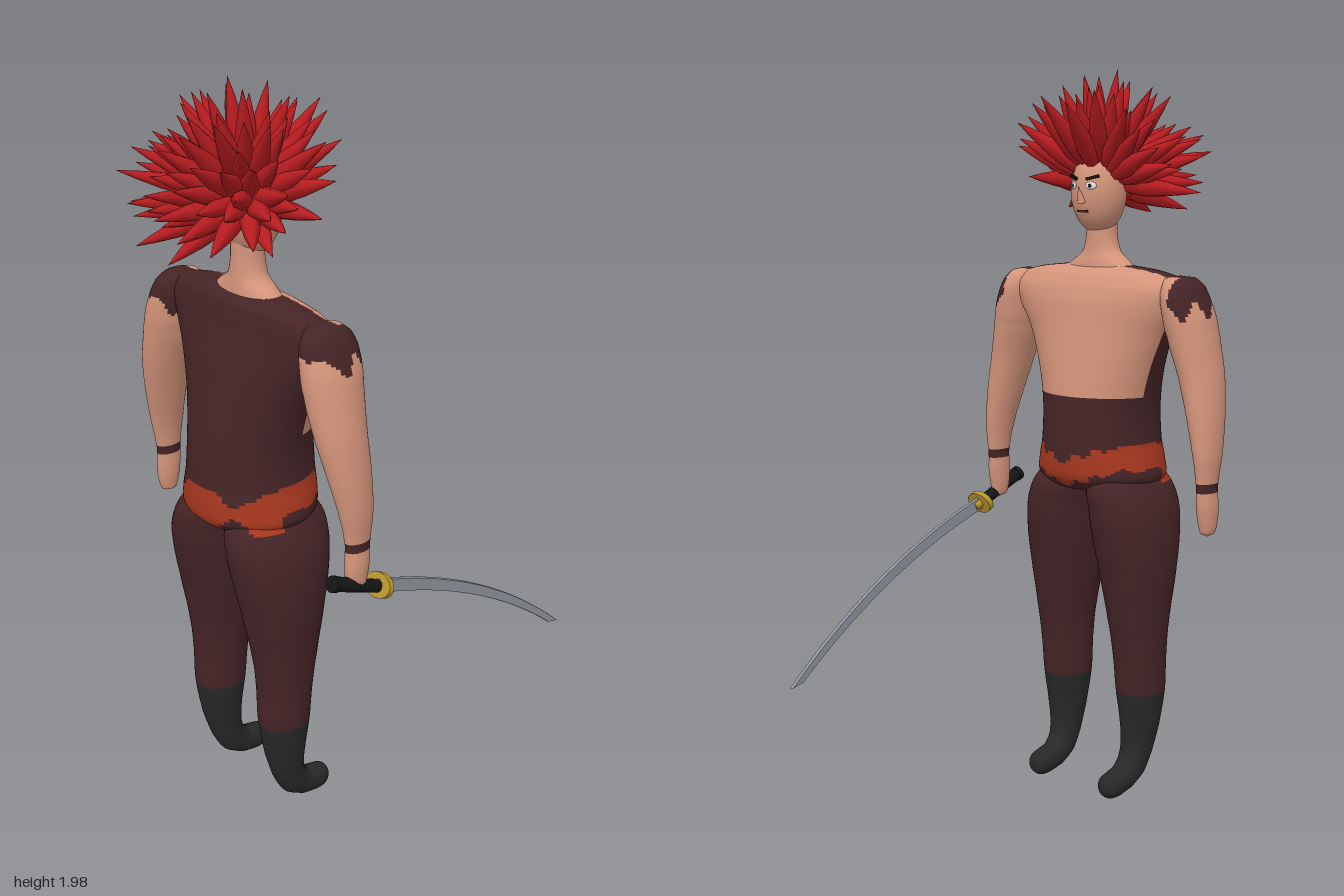
import * as THREE from 'three';

const mat = (name, color) => {
  const m = new THREE.MeshStandardMaterial({ color });
  m.name = name;
  return m;
};

// Catmull-Rom sampling of key rings [x, y, z, rx, rz, tilt]
function sampleRings(keys, sub) {
  const out = [];
  const at = (i) => keys[Math.max(0, Math.min(keys.length - 1, i))];
  for (let i = 0; i < keys.length - 1; i++) {
    for (let s = 0; s < sub; s++) {
      const t = s / sub;
      out.push([0, 1, 2, 3, 4, 5].map((k) => {
        const [a, b, c, d] = [-1, 0, 1, 2].map((o) => at(i + o)[k] || 0);
        if (k === 1) return b + (c - b) * t;
        return b + 0.5 * t * (c - a + t * (2 * a - 5 * b + 4 * c - d + t * (3 * (b - c) + d - a)));
      }));
    }
  }
  out.push(at(keys.length));
  return out;
}

// Smooth skin over stacked elliptical rings; pick(x, y, z) gives a material index per face
function loft(keys, mats, pick, seg = 48, sub = 7) {
  const rings = sampleRings(keys, sub);
  const pos = [];
  for (const [x, y, z, rx, rz, tilt = 0] of rings) {
    for (let j = 0; j < seg; j++) {
      const a = (j / seg) * Math.PI * 2;
      const v = Math.sin(a) * Math.max(rz, 0);
      pos.push(x + Math.cos(a) * Math.max(rx, 0), y - v * Math.sin(tilt), z + v * Math.cos(tilt));
    }
  }
  const lists = mats.map(() => []);
  for (let i = 0; i < rings.length - 1; i++) {
    for (let j = 0; j < seg; j++) {
      const k = (j + 1) % seg;
      const q = [i * seg + j, i * seg + k, (i + 1) * seg + j, (i + 1) * seg + k];
      const c = [0, 1, 2].map((n) => q.reduce((s, p) => s + pos[p * 3 + n], 0) / 4);
      lists[pick(...c)].push(q[0], q[1], q[2], q[1], q[3], q[2]);
    }
  }
  const g = new THREE.BufferGeometry();
  g.setAttribute('position', new THREE.Float32BufferAttribute(pos, 3));
  g.setIndex(lists.flat());
  let start = 0;
  lists.forEach((l, i) => { g.addGroup(start, l.length, i); start += l.length; });
  g.computeVertexNormals();
  return new THREE.Mesh(g, mats);
}

export function createModel() {
  const skin = mat('skin', 0xd4947a), cloth = mat('dark brown cloth', 0x452426);
  const sash = mat('orange sash', 0xa8371f), boot = mat('charcoal boots', 0x282828);
  const hairRed = mat('red hair', 0xb81c20), gold = mat('gold', 0xb8962e);
  const steel = mat('steel', 0x9295a0), black = mat('black', 0x151515), white = mat('eye white', 0xe8e8e8);

  const model = new THREE.Group();
  const body = new THREE.Group();
  body.name = 'body';
  body.position.x = -0.01;
  model.add(body);
  const add = (parent, name, mesh) => { mesh.name = name; parent.add(mesh); return mesh; };

  // Sash pinches beside the centre at the back and dips at the front
  const inSash = (x, y, z) => {
    const ax = Math.abs(x);
    if (z > 0.3) return Math.abs(y - 0.94) < 0.008 + Math.min(0.047, Math.abs(ax - 0.1) * 0.9);
    const dip = z < 0.2 ? 0.05 * Math.max(0, 1 - ax / 0.16) : 0;
    return Math.abs(y - 0.97 + dip + 0.006 * Math.sin(ax * 120)) < 0.034;
  };

  // Torso: clothed back, bare chest
  add(body, 'torso', loft([
    [0, 1.478, 0.25, 0, 0], [0, 1.476, 0.25, 0.1, 0.035], [0, 1.465, 0.25, 0.2, 0.06],
    [0, 1.45, 0.248, 0.265, 0.075], [0, 1.42, 0.243, 0.3, 0.088], [0, 1.38, 0.242, 0.285, 0.1],
    [0, 1.3, 0.248, 0.235, 0.118], [0, 1.2, 0.252, 0.192, 0.138], [0, 1.1, 0.256, 0.166, 0.155],
    [0, 1.0, 0.258, 0.164, 0.165], [0, 0.94, 0.26, 0.178, 0.168], [0, 0.9, 0.262, 0.182, 0.16],
    [0, 0.87, 0.262, 0.14, 0.12], [0, 0.86, 0.262, 0, 0],
  ], [cloth, skin, sash], (x, y, z) => {
    if (inSash(x, y, z)) return 2;
    return y > 1.135 && z < 0.225 && Math.abs(x) < 0.29 ? 1 : 0;
  }, 72));

  for (const s of [-1, 1]) {
    const side = s > 0 ? 'left' : 'right';
    const place = (keys) => keys.map(([x, ...r]) => [x * s, ...r]);

    // Arm with ragged sleeve end and wristband
    add(body, side + 'Arm', loft(place([
      [0.27, 1.457, 0.25, 0, 0], [0.272, 1.45, 0.25, 0.035, 0.045], [0.28, 1.43, 0.25, 0.047, 0.068],
      [0.287, 1.4, 0.25, 0.055, 0.08], [0.3, 1.35, 0.253, 0.062, 0.083], [0.312, 1.3, 0.256, 0.062, 0.08],
      [0.338, 1.2, 0.258, 0.055, 0.071], [0.36, 1.1, 0.25, 0.045, 0.061], [0.375, 1.0, 0.241, 0.033, 0.049],
      [0.378, 0.925, 0.238, 0.024, 0.038], [0.378, 0.9, 0.238, 0.023, 0.036], [0.379, 0.86, 0.24, 0.025, 0.036],
      [0.379, 0.82, 0.242, 0.023, 0.031], [0.379, 0.79, 0.242, 0.017, 0.022], [0.379, 0.78, 0.242, 0, 0],
    ]), [skin, cloth], (x, y, z) => {
      if (y > 0.9 && y < 0.925) return 1;
      const hem = 1.37 + 0.025 * Math.sin(z * 75 + Math.abs(x) * 30);
      return y > hem && (z > 0.225 || Math.abs(x) > 0.29) ? 1 : 0;
    }));

    // Leg, running on into the boot and forward-bent foot
    add(body, side + 'Leg', loft(place([
      [0.09, 0.94, 0.262, 0, 0], [0.09, 0.93, 0.262, 0.06, 0.1], [0.097, 0.88, 0.263, 0.092, 0.145],
      [0.112, 0.82, 0.265, 0.103, 0.15], [0.12, 0.75, 0.265, 0.106, 0.14], [0.127, 0.65, 0.265, 0.1, 0.118],
      [0.132, 0.5, 0.265, 0.081, 0.09], [0.134, 0.4, 0.269, 0.072, 0.077], [0.135, 0.3, 0.273, 0.066, 0.072],
      [0.135, 0.2, 0.271, 0.053, 0.058, 0.1], [0.133, 0.13, 0.26, 0.044, 0.047, 0.35],
      [0.131, 0.085, 0.24, 0.04, 0.043, 0.8], [0.13, 0.058, 0.205, 0.037, 0.038, 1.15],
      [0.13, 0.049, 0.165, 0.035, 0.037, 1.35], [0.13, 0.046, 0.138, 0.03, 0.033, 1.4],
      [0.13, 0.045, 0.122, 0.017, 0.018, 1.45], [0.13, 0.045, 0.118, 0, 0, 1.45],
    ]), [cloth, boot, sash], (x, y, z) => (y < 0.3 ? 1 : inSash(x, y, z) ? 2 : 0)));
  }

  // Neck
  add(body, 'neck', loft([
    [0, 1.62, 0.252, 0.04, 0.042], [0, 1.55, 0.252, 0.043, 0.043], [0, 1.51, 0.252, 0.058, 0.045],
    [0, 1.475, 0.25, 0.105, 0.05], [0, 1.46, 0.25, 0.13, 0.05],
  ], [skin], () => 0, 32));

  // Head and face, looking toward -z
  const head = new THREE.Group();
  head.name = 'head';
  head.position.set(0, 1.67, 0.238);
  body.add(head);
  const R = [0.076, 0.112, 0.074];
  const faceZ = (x, y) => -R[2] * Math.sqrt(1 - (x / R[0]) ** 2 - (y / R[1]) ** 2);
  add(head, 'skull', new THREE.Mesh(new THREE.SphereGeometry(1, 32, 24), skin)).scale.set(...R);
  const nose = add(head, 'nose', new THREE.Mesh(new THREE.ConeGeometry(0.013, 0.045, 12), skin));
  nose.position.set(0, -0.008, -0.077);
  nose.rotation.x = -0.35;
  for (const s of [-1, 1]) {
    const feature = (name, geo, m, x, y, lift, roll = 0) => {
      const f = add(head, name, new THREE.Mesh(geo, m));
      f.position.set(x * s, y, faceZ(x, y) - lift);
      f.rotation.set(0, s * -0.45, s * roll);
      return f;
    };
    feature('eye', new THREE.SphereGeometry(0.014, 16, 12), white, 0.03, 0.015, 0).scale.set(1.1, 0.7, 0.3);
    feature('pupil', new THREE.SphereGeometry(0.006, 12, 8), black, 0.029, 0.015, 0.003).scale.z = 0.4;
    feature('eyebrow', new THREE.BoxGeometry(0.036, 0.008, 0.009), black, 0.032, 0.036, 0.001, 0.25);
  }
  add(head, 'mouth', new THREE.Mesh(new THREE.BoxGeometry(0.034, 0.006, 0.008), cloth))
    .position.set(0, -0.052, faceZ(0, -0.052));

  // Hair: cap plus radiating spindle spikes
  const hair = new THREE.Group();
  hair.name = 'hair';
  hair.position.set(0, 1.695, 0.25);
  body.add(hair);
  const cap = add(hair, 'hairCap', new THREE.Mesh(new THREE.SphereGeometry(0.088, 24, 16, 0, Math.PI * 2, 0, 1.6), hairRed));
  cap.rotation.x = 0.75;
  let seed = 7;
  const rand = () => (seed = (seed * 16807) % 2147483647) / 2147483647;
  const spike = new THREE.LatheGeometry(
    [[0.012, 0.1], [0.023, 0.3], [0.026, 0.45], [0.02, 0.65], [0.01, 0.85], [0, 1]].map((p) => new THREE.Vector2(...p)), 8);
  const up = new THREE.Vector3(0, 1, 0);
  const N = 190;
  for (let i = 0; i < N; i++) {
    const y = 1 - (2 * (i + 0.5)) / N;
    const a = i * 2.39996;
    const r = Math.sqrt(1 - y * y);
    const d = new THREE.Vector3(r * Math.cos(a), y, r * Math.sin(a));
    const limit = -0.28 + 1.0 * Math.max(0, 0.3 - d.z);
    const jitter = new THREE.Vector3(rand() - 0.5, rand() - 0.5, rand() - 0.5).multiplyScalar(0.15);
    const len = 0.225 + 0.07 * rand() + 0.025 * Math.max(0, d.z) + 0.015 * Math.max(0, d.y);
    if (d.y < limit) continue;
    const m = add(hair, 'hairSpike', new THREE.Mesh(spike, hairRed));
    m.quaternion.setFromUnitVectors(up, d.add(jitter).normalize());
    m.scale.set(1, len, 1);
  }

  // Curved sword held in the left hand
  const sword = new THREE.Group();
  sword.name = 'sword';
  sword.position.x = 0.375;
  model.add(sword);
  const blade = new THREE.Shape();
  blade.moveTo(-0.17, 0.79);
  blade.quadraticCurveTo(0.22, 0.672, 0.54, 0.383);
  blade.lineTo(0.505, 0.391);
  blade.quadraticCurveTo(0.2, 0.645, -0.18, 0.757);
  const bladeGeo = new THREE.ExtrudeGeometry(blade, { depth: 0.006, bevelEnabled: true, bevelSize: 0.001, bevelThickness: 0.003, bevelSegments: 1, curveSegments: 20 });
  bladeGeo.rotateY(Math.PI / 2).translate(-0.003, 0, 0);
  add(sword, 'blade', new THREE.Mesh(bladeGeo, steel));
  const axis = new THREE.Vector3(0, -0.39, -0.92).normalize();
  const rod = (name, geo, m, y, z) => {
    const p = add(sword, name, new THREE.Mesh(geo, m));
    p.quaternion.setFromUnitVectors(up, axis);
    p.position.set(0, y, z);
    return p;
  };
  rod('grip', new THREE.CylinderGeometry(0.017, 0.019, 0.165, 16), black, 0.805, 0.25);
  rod('guard', new THREE.CylinderGeometry(0.043, 0.043, 0.016, 32), gold, 0.773, 0.168).scale.z = 0.75;
  rod('pommel', new THREE.CylinderGeometry(0.021, 0.021, 0.014, 16), black, 0.835, 0.322);
  rod('collar', new THREE.CylinderGeometry(0.012, 0.016, 0.025, 16), gold, 0.767, 0.153);
  return model;
}
